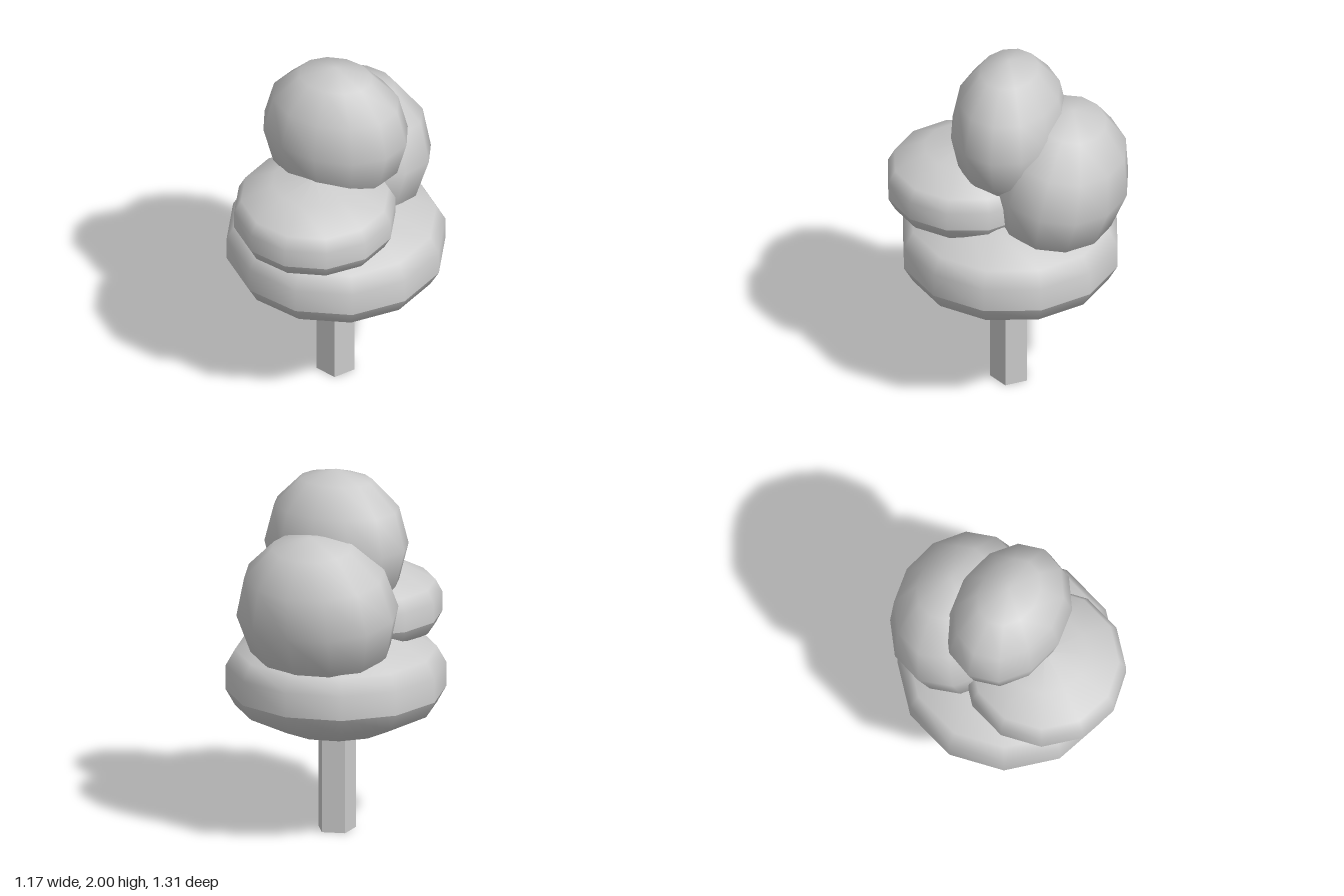
import * as THREE from 'three';

const SIDES = 12;
const foliage = new THREE.MeshStandardMaterial({ color: 0xcccccc });
const bark = new THREE.MeshStandardMaterial({ color: 0xcccccc, flatShading: true, side: THREE.DoubleSide });

function place(object, name, x, y, z) {
  object.name = name;
  object.position.set(x, y, z);
  return object;
}

// Round clump: a coarse, smooth-shaded ellipsoid
function roundClump(name, [x, y, z], [rx, ry, rz]) {
  const mesh = new THREE.Mesh(new THREE.SphereGeometry(1, SIDES, 6), foliage);
  mesh.scale.set(rx, ry, rz);
  return place(mesh, name, x, y, z);
}

// Flat clump: a squashed sphere whose equator is cut to an upright band,
// with a crease where the underside meets the band
function flatClump(name, [x, y, z], radius, height) {
  const ring = (deg) => {
    const a = THREE.MathUtils.degToRad(deg);
    return new THREE.Vector2(Math.max(0, radius * Math.cos(a)), height * Math.sin(a));
  };
  const band = (side) => new THREE.Vector2(radius * 0.946, side * height * 0.215);
  const under = [ring(-90), ring(-60), ring(-30), band(-1)];
  const upper = [band(-1), band(1), ring(30), ring(60), ring(90)];
  const group = new THREE.Group();
  for (const [part, points] of [['underside', under], ['crown', upper]]) {
    const mesh = new THREE.Mesh(new THREE.LatheGeometry(points, SIDES), foliage);
    mesh.name = part;
    group.add(mesh);
  }
  return place(group, name, x, y, z);
}

export function createModel() {
  const tree = new THREE.Group();
  tree.name = 'tree';

  // Five-sided trunk, open at the ends, one corner towards +x
  const trunk = new THREE.CylinderGeometry(0.106, 0.106, 0.7, 5, 1, true, Math.PI / 2);
  tree.add(place(new THREE.Mesh(trunk, bark), 'trunk', 0, 0.35, -0.023));

  // Foliage
  tree.add(flatClump('lowerFoliage', [0, 0.85, -0.024], 0.62, 0.31));
  tree.add(flatClump('frontFoliage', [-0.025, 1.193, 0.22], 0.457, 0.242));
  tree.add(roundClump('topFoliage', [0, 1.595, -0.018], [0.405, 0.405, 0.31]));

  // Rear clump leans backwards
  const rear = roundClump('rearFoliage', [-0.025, 1.29, -0.29], [0.45, 0.437, 0.37]);
  rear.rotation.x = -0.17;
  tree.add(rear);

  return tree;
}
